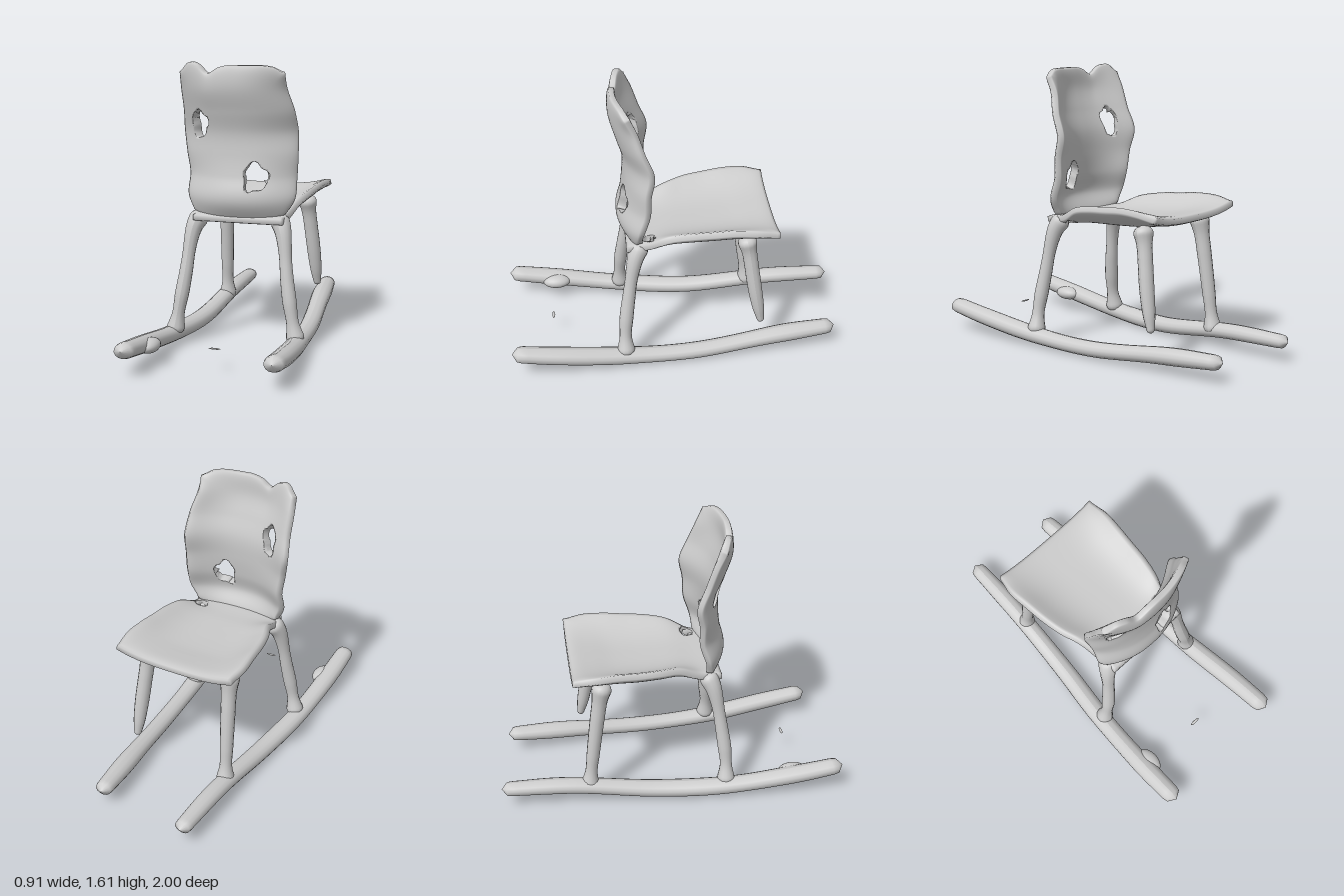
import * as THREE from 'three';

const material = new THREE.MeshStandardMaterial({ color: 0xcccccc, side: THREE.DoubleSide });

// Smooth curve through evenly spaced values, t in 0..1
function spline(values) {
  const c = new THREE.SplineCurve(values.map((v, i) => new THREE.Vector2(i, v)));
  return (t) => c.getPoint(t).y;
}

// Thick curved sheet: place(u, v) gives its middle surface; holes are ragged ovals [u, v, ru, rv, phase]
function sheet(nu, nv, thickness, place, holes) {
  const pos = [], inside = [], cells = [];
  const id = (i, j) => j * (nu + 1) + i;
  for (let j = 0; j <= nv; j++) for (let i = 0; i <= nu; i++) {
    let u = i / nu, v = j / nv, hit = false;
    for (const [hu, hv, ru, rv, phase] of holes) {
      const a = (u - hu) / ru, b = (v - hv) / rv, d = Math.hypot(a, b), ang = Math.atan2(b, a);
      const rim = 1 + 0.1 * Math.sin(3 * ang + phase) + 0.08 * Math.sin(5 * ang);
      if (d < rim) {
        // push the vertex out to the rim of the hole
        hit = true;
        u = hu + Math.cos(ang) * rim * ru;
        v = hv + Math.sin(ang) * rim * rv;
      }
    }
    inside.push(hit);
    pos.push(...place(Math.min(u, 1), v));
  }
  const corners = (i, j) => [id(i, j), id(i + 1, j), id(i + 1, j + 1), id(i, j + 1)];
  const kept = (i, j) => i >= 0 && j >= 0 && i < nu && j < nv && !corners(i, j).every((k) => inside[k]);
  for (let j = 0; j < nv; j++) for (let i = 0; i < nu; i++) if (kept(i, j)) cells.push([i, j]);

  const mid = new THREE.BufferGeometry();
  mid.setAttribute('position', new THREE.Float32BufferAttribute(pos, 3));
  mid.setIndex(cells.flatMap(([i, j]) => {
    const [a, b, c, d] = corners(i, j);
    return [a, b, c, a, c, d];
  }));
  mid.computeVertexNormals();
  const n = mid.attributes.normal.array, count = pos.length / 3, out = [];
  for (const side of [1, -1]) for (let k = 0; k < count; k++) {
    const s = Math.abs((2 * (k % (nu + 1))) / nu - 1);
    const t = Math.abs((2 * Math.floor(k / (nu + 1))) / nv - 1);
    const h = side * thickness * 0.5 * (1 - 0.45 * Math.max(s, t) ** 16);
    for (let m = 0; m < 3; m++) out.push(pos[k * 3 + m] + n[k * 3 + m] * h);
  }
  const index = [];
  for (const [i, j] of cells) {
    const q = corners(i, j), [a, b, c, d] = q, o = count;
    index.push(a, b, c, a, c, d, a + o, c + o, b + o, a + o, d + o, c + o);
    [[0, -1], [1, 0], [0, 1], [-1, 0]].forEach(([di, dj], e) => {
      if (kept(i + di, j + dj)) return;
      const p = q[e], r = q[(e + 1) % 4];
      index.push(r, p, p + o, r, p + o, r + o);
    });
  }
  const g = new THREE.BufferGeometry();
  g.setAttribute('position', new THREE.Float32BufferAttribute(out, 3));
  g.setIndex(index);
  g.computeVertexNormals();
  return g;
}

// Round-ended limb along points, with changing radius; flat squashes its height
function limb(points, radii, flat = 1) {
  const curve = new THREE.CatmullRomCurve3(points.map((p) => new THREE.Vector3(...p)));
  const segs = 64, sides = 14, radius = spline(radii), length = curve.getLength();
  const g = new THREE.TubeGeometry(curve, segs, 1, sides, false);
  const p = g.attributes.position, v = new THREE.Vector3();
  for (let i = 0; i <= segs; i++) {
    const t = i / segs, c = curve.getPointAt(t), r = radius(t);
    const e = Math.min(1, (Math.min(t, 1 - t) * length) / r);
    const k = r * Math.sqrt(Math.max(0, 1 - (1 - e) ** 2));
    for (let s = 0; s <= sides; s++) {
      const n = i * (sides + 1) + s;
      v.fromBufferAttribute(p, n).sub(c).multiplyScalar(k);
      v.y *= flat;
      v.add(c);
      p.setXYZ(n, v.x, v.y, v.z);
    }
  }
  g.computeVertexNormals();
  return g;
}

function backrestGeometry() {
  const left = spline([-0.26, -0.295, -0.295, -0.315, -0.335, -0.325, -0.325, -0.32]);
  const right = spline([0.27, 0.315, 0.315, 0.32, 0.315, 0.305, 0.275, 0.275]);
  const rear = spline([0.28, 0.335, 0.31, 0.295, 0.295, 0.33, 0.365, 0.365]);
  const wrap = spline([0.04, 0.11, 0.12, 0.11, 0.13, 0.12, 0.115, 0.07]);
  const crest = spline([-0.04, 0.01, 0, -0.045, -0.015, 0, 0, 0, 0, -0.01, -0.04]);
  return sheet(56, 64, 0.052, (u, v) => {
    const s = Math.abs(2 * u - 1);
    return [
      THREE.MathUtils.lerp(left(v), right(v), u),
      0.73 + 0.87 * v + crest(u) * v ** 8 + 0.05 * s ** 4 * (1 - v) ** 8,
      rear(v) - 0.026 - wrap(v) * s ** 2.3,
    ];
  }, [[0.2, 0.625, 0.075, 0.095, 1], [0.665, 0.287, 0.105, 0.092, 2]]);
}

function seatGeometry() {
  const left = spline([-0.25, -0.265, -0.29, -0.335, -0.36, -0.375, -0.385, -0.365]);
  const right = spline([0.27, 0.28, 0.31, 0.33, 0.34, 0.35, 0.36, 0.35]);
  const height = spline([0.74, 0.74, 0.748, 0.752, 0.757, 0.767, 0.787, 0.805]);
  const lift = spline([0, 0.02, 0.075, 0.095, 0.1, 0.1, 0.075, 0.035]);
  return sheet(48, 56, 0.055, (u, v) => [
    THREE.MathUtils.lerp(left(v), right(v), u),
    height(v) + lift(v) * Math.abs(2 * u - 1) ** 3,
    0.29 - 0.855 * v,
  ], [[0.89, 0.16, 0.07, 0.045, 0]]);
}

export function createModel() {
  const model = new THREE.Group();
  const add = (name, geometry) => {
    const mesh = new THREE.Mesh(geometry, material);
    mesh.name = name;
    model.add(mesh);
    return mesh;
  };
  add('backrest', backrestGeometry());
  add('seat', seatGeometry());

  // Rockers splay outward toward the back
  add('rightRocker', limb([[-0.29, 0.115, -1], [-0.3, 0.105, -0.6], [-0.33, 0.05, -0.1],
    [-0.375, 0.06, 0.3], [-0.4, 0.11, 0.7], [-0.405, 0.155, 1]],
  [0.048, 0.055, 0.055, 0.058, 0.06, 0.058, 0.06, 0.055], 0.8));
  add('leftRocker', limb([[0.255, 0.115, -0.94], [0.285, 0.095, -0.6], [0.335, 0.05, -0.1],
    [0.36, 0.06, 0.3], [0.39, 0.11, 0.7], [0.4, 0.15, 0.97]],
  [0.05, 0.06, 0.055, 0.055, 0.055, 0.06, 0.06, 0.055], 0.8));

  // Lump on the inner side of the right rocker
  const knot = add('rockerKnot', new THREE.SphereGeometry(1, 20, 14));
  knot.position.set(-0.355, 0.11, 0.71);
  knot.scale.set(0.055, 0.04, 0.085);

  // Back legs, flared where they meet the seat and rockers
  for (const s of [-1, 1]) {
    add(s < 0 ? 'rightBackLeg' : 'leftBackLeg', limb([[s * 0.22, 0.76, 0.2], [s * 0.26, 0.68, 0.24],
      [s * 0.3, 0.4, 0.29], [s * 0.33, 0.22, 0.31], [s * 0.36, 0.06, 0.31]],
    [0.06, 0.045, 0.036, 0.038, 0.04, 0.036, 0.06]));
  }
  // Front legs; the left one stops short of its rocker
  add('rightFrontLeg', limb([[-0.27, 0.78, -0.39], [-0.275, 0.68, -0.41], [-0.285, 0.4, -0.45], [-0.295, 0.07, -0.49]],
    [0.065, 0.045, 0.042, 0.04, 0.038, 0.036, 0.06]));
  add('leftFrontLeg', limb([[0.24, 0.78, -0.39], [0.25, 0.68, -0.41], [0.275, 0.42, -0.45], [0.29, 0.2, -0.49]],
    [0.065, 0.045, 0.042, 0.042, 0.04, 0.034, 0.02]));

  // Small loose sliver behind the chair
  const chip = add('looseChip', new THREE.SphereGeometry(1, 12, 8));
  chip.position.set(0.02, 0.13, 0.73);
  chip.scale.set(0.033, 0.004, 0.009);
  return model;
}
